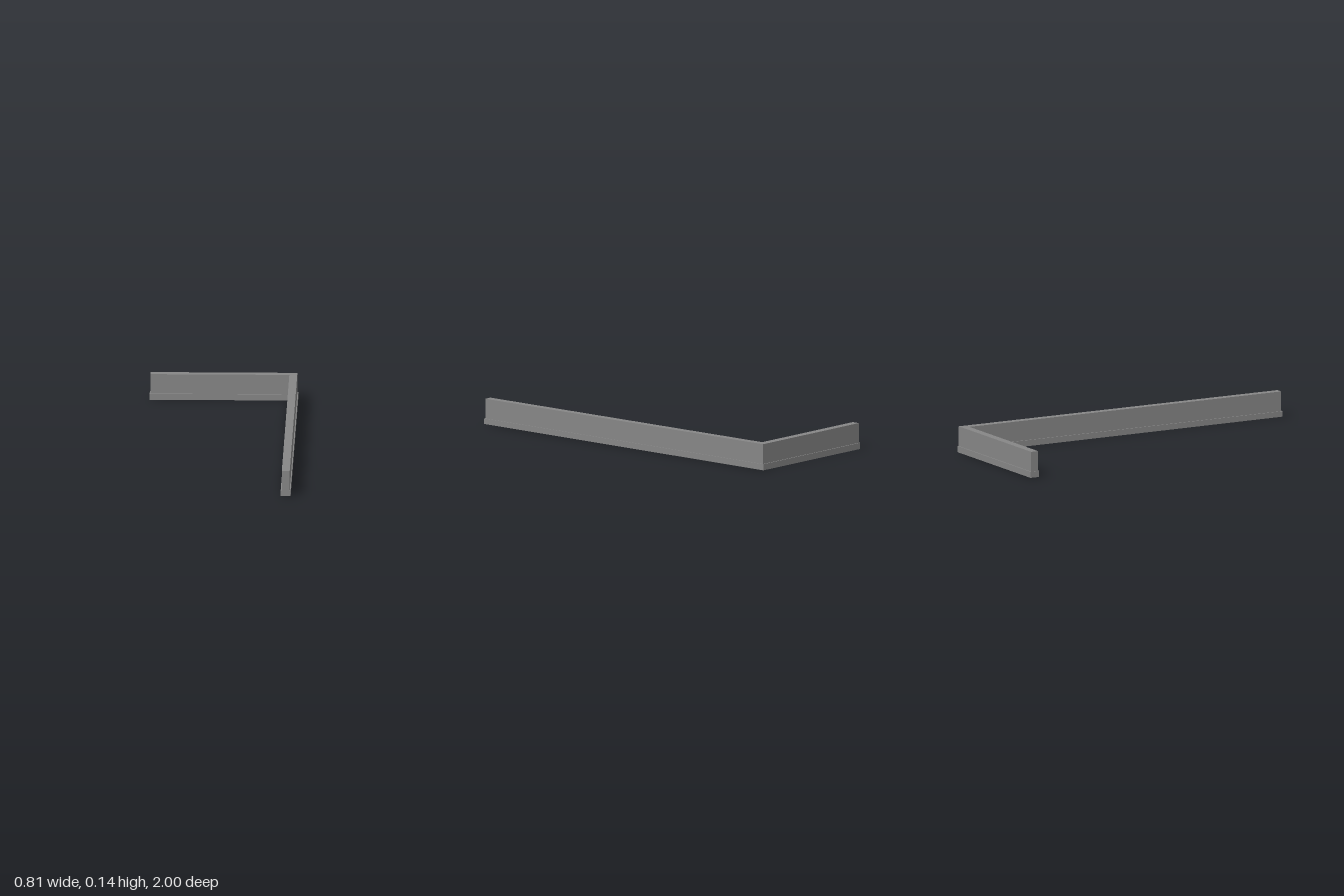
import * as THREE from 'three';

// L-shaped prism: outer edges at x1 and z0, legs of the given thickness
function corner(x0, x1, z0, z1, thick, y0, y1) {
  const outline = [
    [x0, z0], [x0, z0 + thick], [x1 - thick, z0 + thick],
    [x1 - thick, z1], [x1, z1], [x1, z0],
  ];
  const shape = new THREE.Shape(outline.map(([x, z]) => new THREE.Vector2(x, -z)));
  const geo = new THREE.ExtrudeGeometry(shape, { depth: y1 - y0, bevelEnabled: false });
  return geo.rotateX(-Math.PI / 2).translate(0, y0, 0);
}

export function createModel() {
  const group = new THREE.Group();
  const stone = new THREE.MeshStandardMaterial({ color: 0x868686 });
  stone.name = 'grey stone';

  const add = (name, geo) => {
    const mesh = new THREE.Mesh(geo, stone);
    mesh.name = name;
    group.add(mesh);
  };

  // Wider footing, its underside rising very slightly towards the front
  const footing = corner(-0.403, 0.403, -1, 1, 0.054, 0, 0.034);
  const pos = footing.attributes.position;
  for (let i = 0; i < pos.count; i++) {
    if (pos.getY(i) < 0.01) pos.setY(i, 0.002 * (pos.getZ(i) + 1));
  }
  footing.computeVertexNormals();
  add('footing', footing);

  // Wall set in a little from the footing on every side
  add('wall', corner(-0.399, 0.398, -0.994, 0.994, 0.043, 0.034, 0.143));

  return group;
}
